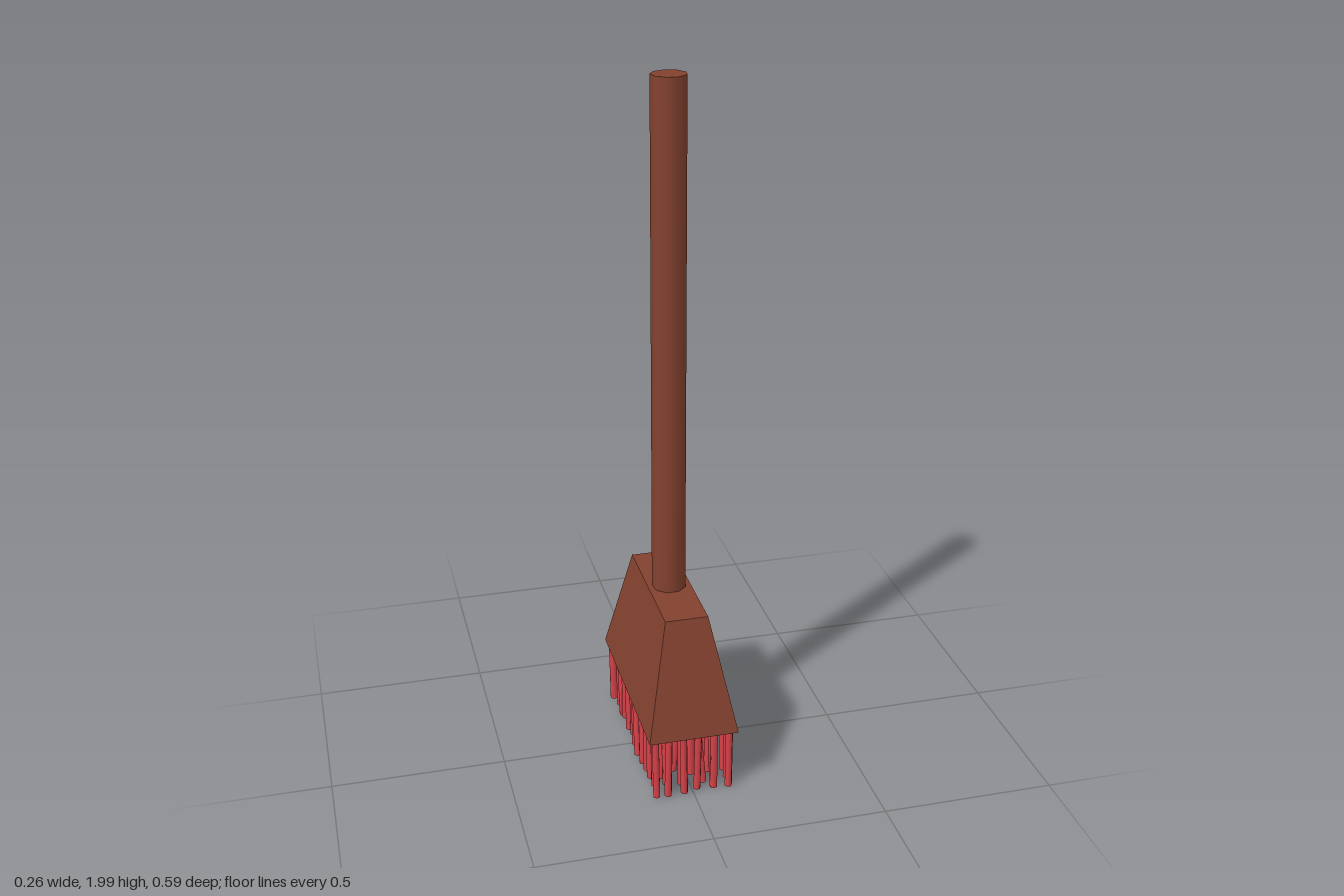
import * as THREE from 'three';

const wood = new THREE.MeshStandardMaterial({ color: 0x84422f });
const woodFlat = new THREE.MeshStandardMaterial({ color: 0x84422f, flatShading: true });
const red = new THREE.MeshStandardMaterial({ color: 0xd9434a });

// small seeded generator, returns -1..1
function seeded(seed) {
  return () => {
    seed = (seed * 16807) % 2147483647;
    return (seed / 2147483647) * 2 - 1;
  };
}

function addMesh(parent, name, geometry, material) {
  const mesh = new THREE.Mesh(geometry, material);
  mesh.name = name;
  parent.add(mesh);
  return mesh;
}

// box whose top face is narrowed to topX by topZ
function taperedBlock(baseX, baseZ, topX, topZ, height) {
  const geometry = new THREE.BoxGeometry(baseX, height, baseZ);
  const p = geometry.attributes.position;
  for (let i = 0; i < p.count; i++) {
    if (p.getY(i) > 0) {
      p.setX(i, Math.sign(p.getX(i)) * topX / 2);
      p.setZ(i, Math.sign(p.getZ(i)) * topZ / 2);
    }
  }
  geometry.computeVertexNormals();
  return geometry;
}

export function createModel() {
  const broom = new THREE.Group();
  broom.name = 'broom';

  // nine-sided handle with a corner pointing back
  const handle = addMesh(broom, 'handle',
    new THREE.CylinderGeometry(0.049, 0.049, 1.48, 9, 1, false, Math.PI), wood);
  handle.position.set(-0.001, 1.26, -0.001);

  // tapered head
  const head = addMesh(broom, 'head', taperedBlock(0.258, 0.589, 0.123, 0.407, 0.335), woodFlat);
  head.position.set(-0.001, 0.3625, -0.001);

  // bristles in jittered rows, a few of them leaning
  const bristles = new THREE.Group();
  bristles.name = 'bristles';
  broom.add(bristles);
  const rand = seeded(4217);
  const rows = 13, columns = 6, length = 0.2;
  const bristleGeometry = new THREE.CylinderGeometry(0.011, 0.011, length, 6);
  bristleGeometry.translate(0, -length / 2, 0);
  for (let r = 0; r < rows; r++) {
    for (let c = 0; c < columns; c++) {
      const x = THREE.MathUtils.lerp(-0.108, 0.108, c / (columns - 1)) + rand() * 0.008;
      const z = THREE.MathUtils.lerp(-0.262, 0.272, r / (rows - 1)) + rand() * 0.008;
      const bristle = addMesh(bristles, 'bristle', bristleGeometry, red);
      const lean = rand() > 0.5 ? 0.1 : 0.02;
      // edge bristles lean inwards so the bundle stays under the head
      const leanX = rand() * lean, leanZ = rand() * lean;
      bristle.position.set(x, 0.206, z);
      bristle.rotation.z = c === 0 ? Math.abs(leanX) : c === columns - 1 ? -Math.abs(leanX) : leanX;
      bristle.rotation.x = r === 0 ? -Math.abs(leanZ) : r === rows - 1 ? Math.abs(leanZ) : leanZ;
      bristle.rotation.y = rand() * Math.PI;
      bristle.rotation.order = 'ZXY';
    }
  }
  return broom;
}
